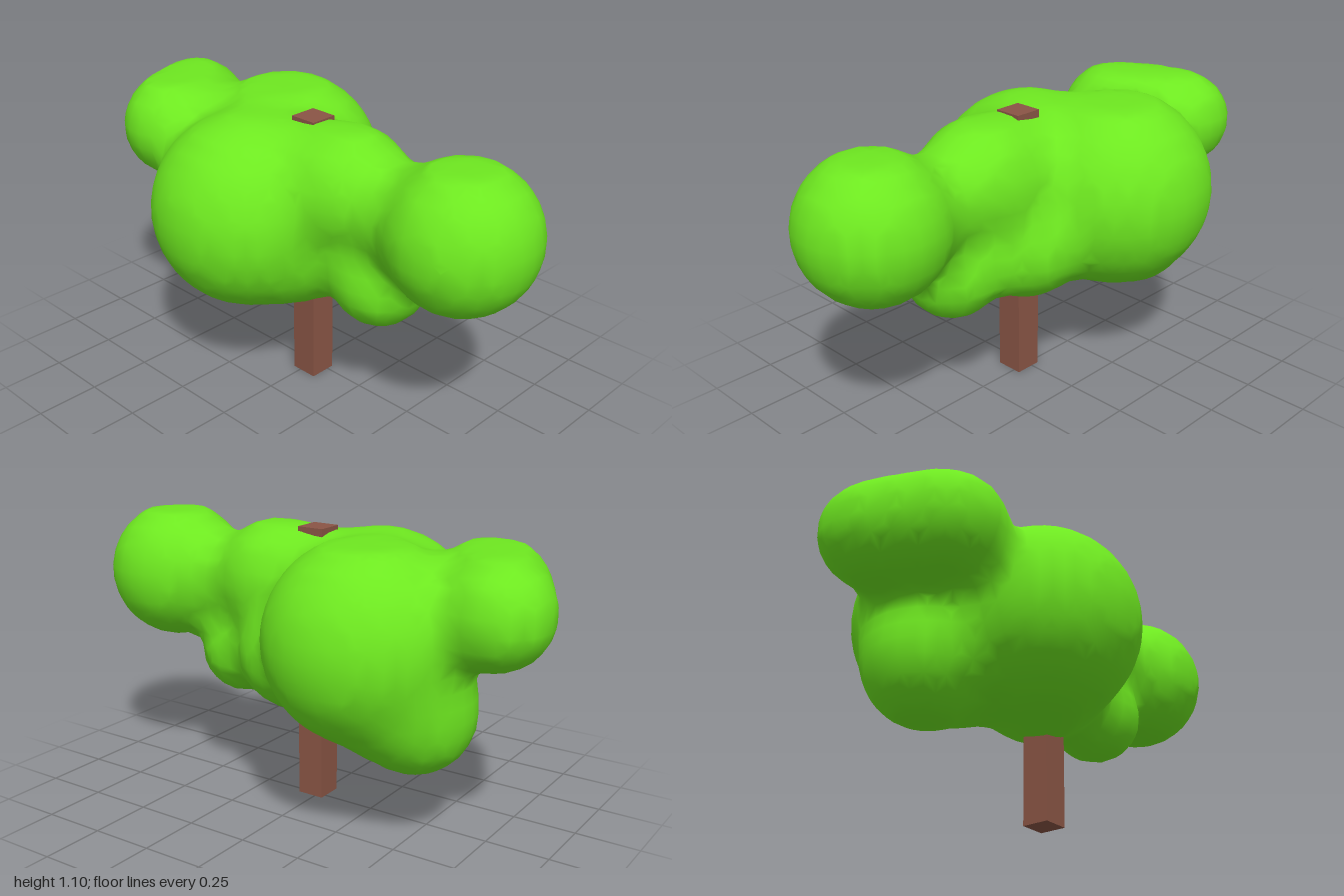
import * as THREE from 'three';

// Foliage blobs: x, y, z, radius
const BLOBS = [
  [-0.17, 0.71, -0.18, 0.38],    // right lobe of the crown
  [0.165, 0.745, -0.32, 0.382],  // left lobe of the crown
  [-0.05, 0.58, 0.0, 0.22],      // low filling around the trunk
  [-0.04, 0.87, 0.02, 0.19],     // high filling around the trunk
  [-0.035, 0.87, 0.21, 0.235],   // upper front shoulder
  [0.075, 0.6, 0.085, 0.195],    // low side lump
  [-0.03, 0.56, 0.37, 0.185],    // low front lump
  [-0.03, 0.84, 0.45, 0.165],    // neck
  [-0.025, 0.845, 0.725, 0.277], // front ball
  [0.12, 0.5, -0.5, 0.23],       // low back lump
  [-0.14, 0.91, -0.66, 0.2],     // back lumps
  [-0.02, 0.91, -0.73, 0.19],
  [0.12, 0.9, -0.81, 0.19],
];
const TOP = 1.096;   // the crown is cut flat here
const BLEND = 0.11;  // width of the smooth joins
const CELL = 0.06;

// Signed distance to the smoothly merged blobs
function crown(p) {
  let d = Infinity;
  for (const [x, y, z, r] of BLOBS) {
    const s = Math.hypot(p[0] - x, p[1] - y, p[2] - z) - r;
    const h = Math.max(BLEND - Math.abs(d - s), 0) / BLEND;
    d = Math.min(d, s) - (h * h * BLEND) / 4;
  }
  return Math.max(d, p[1] - TOP);
}

// Moves a point onto the surface along the gradient
function settle(p, field) {
  const e = 0.002;
  for (let step = 0; step < 3; step++) {
    const d = field(p);
    const g = [0, 1, 2].map((a) => {
      const q = p.slice(), r = p.slice();
      q[a] += e;
      r[a] -= e;
      return (field(q) - field(r)) / (2 * e);
    });
    const len2 = Math.max(g[0] ** 2 + g[1] ** 2 + g[2] ** 2, 0.25);
    p = p.map((v, a) => v - (d * g[a]) / len2);
  }
  return p;
}

// Surface net: one vertex per crossed cell, one quad per crossed grid edge
function surfaceNet(field, min, max) {
  const n = min.map((v, a) => Math.ceil((max[a] - v) / CELL) + 1);
  const stride = [1, n[0], n[0] * n[1]];
  const at = (i, j, k) => [min[0] + i * CELL, min[1] + j * CELL, min[2] + k * CELL];
  const values = [], vertexOf = {}, positions = [], index = [];
  const eachCell = (visit) => {
    for (let k = 0; k < n[2] - 1; k++)
      for (let j = 0; j < n[1] - 1; j++)
        for (let i = 0; i < n[0] - 1; i++) visit([i, j, k], i + j * stride[1] + k * stride[2]);
  };

  for (let k = 0; k < n[2]; k++)
    for (let j = 0; j < n[1]; j++)
      for (let i = 0; i < n[0]; i++) values.push(field(at(i, j, k)));

  eachCell((cell, id) => {
    const sum = [0, 0, 0];
    let count = 0;
    for (let corner = 0; corner < 8; corner++) {
      const o = [corner & 1, (corner >> 1) & 1, corner >> 2];
      const c0 = id + o[0] + o[1] * stride[1] + o[2] * stride[2];
      for (let a = 0; a < 3; a++) {
        if (o[a]) continue;
        const v0 = values[c0], v1 = values[c0 + stride[a]];
        if (v0 < 0 === v1 < 0) continue;
        const p = at(cell[0] + o[0], cell[1] + o[1], cell[2] + o[2]);
        p[a] += (CELL * v0) / (v0 - v1);
        p.forEach((v, b) => (sum[b] += v));
        count++;
      }
    }
    if (!count) return;
    vertexOf[id] = positions.length / 3;
    positions.push(...settle(sum.map((v) => v / count), field));
  });

  eachCell((cell, id) => {
    for (let a = 0; a < 3; a++) {
      const inside = values[id] < 0;
      if (inside === values[id + stride[a]] < 0) continue;
      const sb = stride[(a + 1) % 3], sc = stride[(a + 2) % 3];
      const q = [id, id - sb, id - sb - sc, id - sc].map((c) => vertexOf[c]);
      if (!inside) q.reverse();
      index.push(q[0], q[1], q[2], q[0], q[2], q[3]);
    }
  });

  const geometry = new THREE.BufferGeometry();
  geometry.setAttribute('position', new THREE.Float32BufferAttribute(positions, 3));
  geometry.setIndex(index);
  geometry.computeVertexNormals();
  return geometry;
}

export function createModel() {
  const model = new THREE.Group();
  model.name = 'tree';

  // Square trunk running up through the crown
  const trunk = new THREE.Mesh(
    new THREE.BoxGeometry(0.11, 1.096, 0.11),
    new THREE.MeshStandardMaterial({ color: 0x8a5545 })
  );
  trunk.name = 'trunk';
  trunk.position.set(-0.027, 0.548, 0.02);
  model.add(trunk);

  // Merged leafy crown
  const foliage = new THREE.Mesh(
    surfaceNet(crown, [-0.7, 0.12, -1.15], [0.7, 1.25, 1.15]),
    new THREE.MeshStandardMaterial({ color: 0x6ee820 })
  );
  foliage.name = 'foliage';
  model.add(foliage);

  return model;
}
